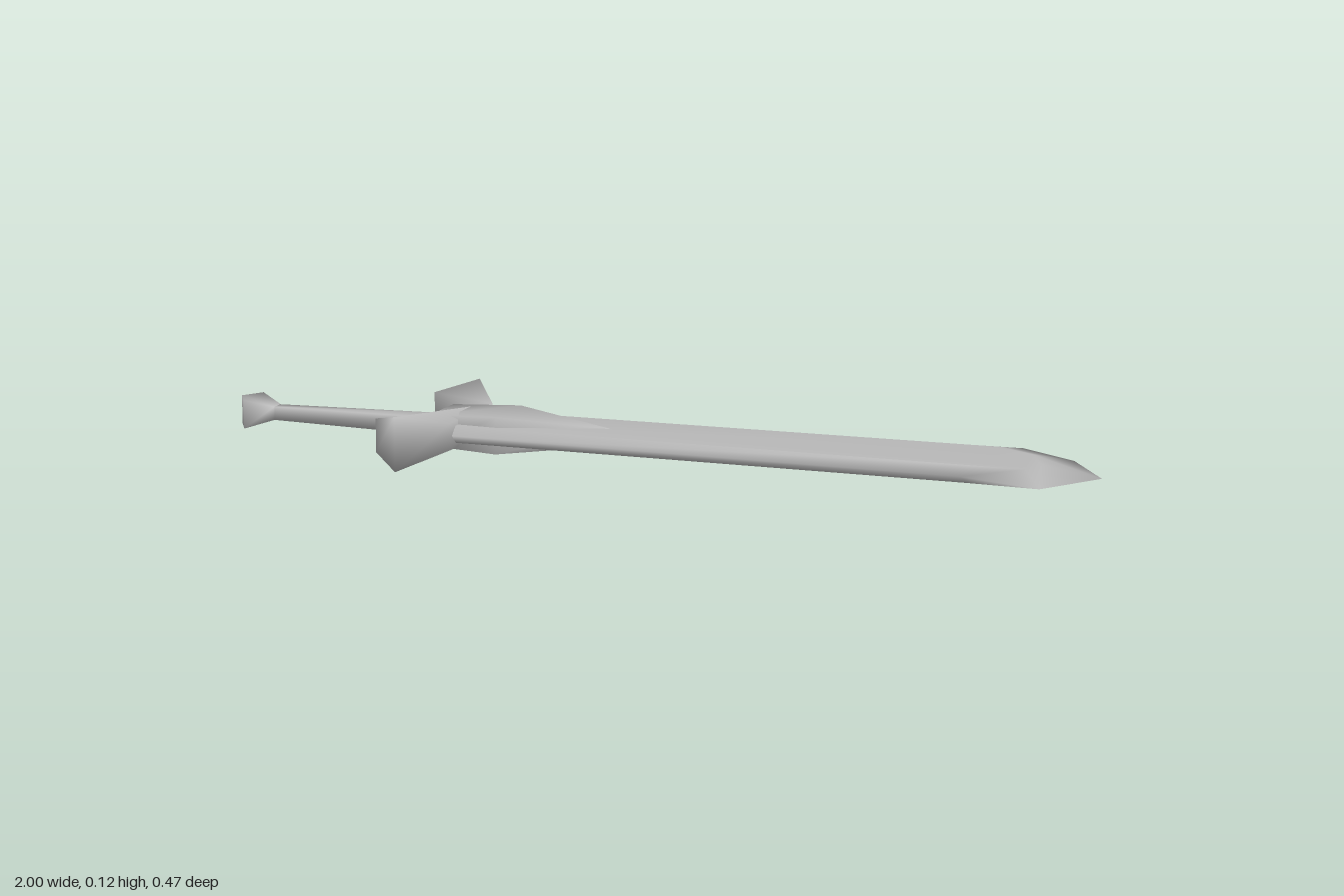
import * as THREE from 'three';

const MID = 0.064; // height of the sword's central plane

// Smooth slab: stacked loops of [x, z, height offset], counter-clockwise from above, capped at both ends
function slab(loops) {
  const n = loops[0].length, index = [];
  const positions = loops.flat().flatMap(([x, z, h]) => [x, MID + h, z]);
  for (let k = 0; k < loops.length - 1; k++) {
    for (let i = 0; i < n; i++) {
      const a = k * n + i, b = k * n + (i + 1) % n;
      index.push(a, b, b + n, a, b + n, a + n);
    }
  }
  const outline = (loop) => loop.map(([x, z]) => new THREE.Vector2(x, -z));
  const last = (loops.length - 1) * n;
  for (const [a, b, c] of THREE.ShapeUtils.triangulateShape(outline(loops[0]), [])) index.push(a, c, b);
  for (const [a, b, c] of THREE.ShapeUtils.triangulateShape(outline(loops.at(-1)), [])) {
    index.push(last + a, last + b, last + c);
  }
  const geometry = new THREE.BufferGeometry();
  geometry.setAttribute('position', new THREE.Float32BufferAttribute(positions, 3));
  geometry.setIndex(index);
  geometry.computeVertexNormals();
  return geometry;
}

// Slab mirrored above and below the central plane
const flip = (loop) => loop.map(([x, z, h]) => [x, z, -h]);
const symmetric = (loop) => slab([flip(loop), loop]);

export function createModel() {
  const group = new THREE.Group();
  const steel = new THREE.MeshStandardMaterial({ color: 0xb8b8b8 });
  steel.name = 'steel grey';
  const add = (name, geometry) => {
    const mesh = new THREE.Mesh(geometry, steel);
    mesh.name = name;
    group.add(mesh);
  };

  // Blade: sharp rim between two flat faces
  const rim = [[-0.43, 0.11], [0.72, 0.13], [0.90, 0.19], [1.0, 0.05],
    [0.91, -0.10], [0.78, -0.19], [0.67, -0.145], [-0.43, -0.115]].map(([x, z]) => [x, z, 0]);
  const face = [[-0.43, 0.09], [0.73, 0.10], [0.85, 0.10], [0.87, 0.04],
    [0.83, -0.05], [0.75, -0.10], [0.69, -0.10], [-0.43, -0.09]].map(([x, z]) => [x, z, 0.019]);
  add('blade', slab([flip(face), rim, face]));

  // Guard with flared, swept-back wings
  const wing = [[-0.5, 0.105, 0.03], [-0.59, 0.16, 0.038], [-0.51, 0.237, 0.061], [-0.43, 0.12, 0.03]];
  add('guard', symmetric([...wing, ...wing.map(([x, z, h]) => [x, -z, h]).reverse()]));

  // Pointed collar over the root of the blade
  add('collar', symmetric([[-0.5, 0.07, 0.035], [-0.34, 0.08, 0.041], [-0.1, 0.005, 0.0195],
    [-0.34, -0.07, 0.041], [-0.5, -0.06, 0.035]]));

  // Tapered grip
  add('grip', symmetric([[-0.92, 0.016, 0.015], [-0.49, 0.03, 0.02],
    [-0.49, -0.03, 0.02], [-0.92, -0.016, 0.015]]));

  // Wedge-shaped pommel
  add('pommel', symmetric([[-1, 0, 0.033], [-0.97, 0.05, 0.033], [-0.91, 0.017, 0.015],
    [-0.91, -0.017, 0.015], [-0.97, -0.05, 0.033]]));

  return group;
}
